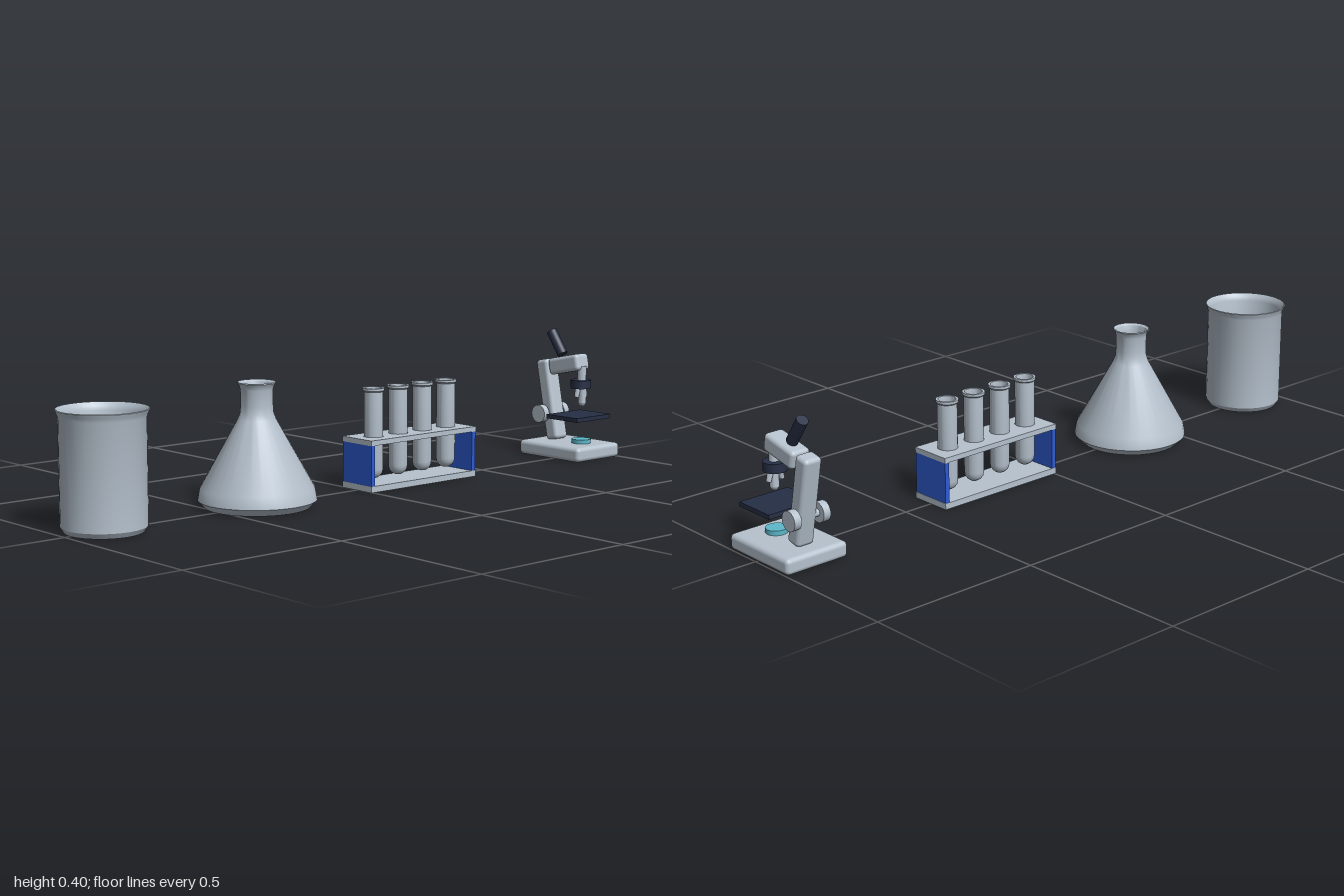
import * as THREE from 'three';
import { toCreasedNormals } from 'three/addons/utils/BufferGeometryUtils.js';
import { RoundedBoxGeometry } from 'three/addons/geometries/RoundedBoxGeometry.js';

const makeMaterial = (name, color) => {
  const m = new THREE.MeshStandardMaterial({ color });
  m.name = name;
  return m;
};

export function createModel() {
  const grey = makeMaterial('paleGrey', 0xb6c2ce);
  const dark = makeMaterial('darkNavy', 0x262f45);
  const teal = makeMaterial('tealLiquid', 0x5cb8cc);
  const green = makeMaterial('greenLiquid', 0x7ccf9b);
  const blue = makeMaterial('rackBlue', 0x2d5bd0);

  const model = new THREE.Group();
  model.name = 'laboratorySet';

  const group = (name, x) => {
    const g = new THREE.Group();
    g.name = name;
    g.position.x = x;
    model.add(g);
    return g;
  };
  const add = (parent, name, geometry, material, x = 0, y = 0, z = 0, tilt = 0) => {
    const mesh = new THREE.Mesh(geometry, material);
    mesh.name = name;
    mesh.position.set(x, y, z);
    mesh.rotation.x = tilt;
    parent.add(mesh);
    return mesh;
  };
  const lathe = (points, sides) => toCreasedNormals(
    new THREE.LatheGeometry(points.map(([r, y]) => new THREE.Vector2(r, y)), sides), 0.5);
  const cylinder = (r, h, sides = 24, rBottom = r) => new THREE.CylinderGeometry(r, rBottom, h, sides);
  const rounded = (w, h, d, r) => new RoundedBoxGeometry(w, h, d, 3, r);

  // Beaker: outer wall, flared rim, inner wall and floor
  const beaker = group('beaker', -0.877);
  add(beaker, 'beakerGlass', lathe([
    [0, 0], [0.105, 0], [0.115, 0.015], [0.115, 0.3], [0.119, 0.31], [0.123, 0.32],
    [0.121, 0.322], [0.113, 0.312], [0.109, 0.3], [0.109, 0.012], [0, 0.012],
  ], 32), grey);
  add(beaker, 'beakerLiquid', cylinder(0.108, 0.15, 32), teal, 0, 0.088);

  // Conical flask
  const flask = group('conicalFlask', -0.37);
  add(flask, 'flaskGlass', lathe([
    [0, 0], [0.145, 0], [0.165, 0.02], [0.159, 0.053], [0.053, 0.243], [0.046, 0.262],
    [0.045, 0.28], [0.045, 0.325], [0.048, 0.335], [0.053, 0.343], [0.052, 0.346],
    [0.046, 0.341], [0.041, 0.325], [0.041, 0.262], [0.047, 0.243], [0.151, 0.053],
    [0.154, 0.02], [0.14, 0.008], [0, 0.008],
  ], 32), grey);
  add(flask, 'flaskLiquid', lathe([
    [0, 0.01], [0.138, 0.01], [0.148, 0.05], [0.104, 0.13], [0, 0.13],
  ], 32), green);

  // Rack with two shelves and blue ends
  const rack = group('testTubeRack', 0.2025);
  add(rack, 'rackBase', new THREE.BoxGeometry(0.416, 0.018, 0.126), grey, 0, 0.009);
  const shelf = new THREE.Shape();
  shelf.moveTo(-0.208, -0.063);
  shelf.lineTo(0.208, -0.063);
  shelf.lineTo(0.208, 0.063);
  shelf.lineTo(-0.208, 0.063);
  const tubeX = [-1.5, -0.5, 0.5, 1.5].map((k) => k * 0.096);
  for (const x of tubeX) shelf.holes.push(new THREE.Path().absarc(x, 0, 0.0285, 0, Math.PI * 2, true));
  const shelfGeometry = new THREE.ExtrudeGeometry(shelf, { depth: 0.015, bevelEnabled: false, curveSegments: 16 });
  shelfGeometry.rotateX(-Math.PI / 2);
  add(rack, 'rackTop', shelfGeometry, grey, 0, 0.135);
  for (const s of [-1, 1]) {
    add(rack, 'rackEnd', new THREE.BoxGeometry(0.014, 0.117, 0.124), blue, s * 0.2, 0.0765);
  }

  // Test tubes, two of them filled
  const tubeProfile = [
    [0, 0.028], [0.011, 0.03], [0.02, 0.036], [0.026, 0.045], [0.028, 0.056], [0.028, 0.28],
    [0.032, 0.284], [0.032, 0.291], [0.025, 0.291], [0.024, 0.28], [0.024, 0.056],
    [0.017, 0.041], [0, 0.034],
  ];
  tubeX.forEach((x, i) => {
    add(rack, 'testTube', lathe(tubeProfile, 20), grey, x);
    if (i % 2) add(rack, 'tubeLiquid', cylinder(0.0235, 0.09, 20), i === 1 ? green : teal, x, 0.1);
  });

  // Microscope body
  const scope = group('microscope', 0.9025);
  add(scope, 'base', rounded(0.195, 0.045, 0.253, 0.013), grey, 0, 0.0225, -0.0125);
  add(scope, 'arm', rounded(0.055, 0.256, 0.048, 0.012), grey, 0, 0.171, -0.09, -0.2);
  add(scope, 'head', rounded(0.06, 0.052, 0.125, 0.012), grey, 0, 0.289, -0.02, -0.21);
  add(scope, 'stage', new THREE.BoxGeometry(0.154, 0.013, 0.128), dark, 0, 0.128, 0.025);
  add(scope, 'lamp', cylinder(0.03, 0.014), teal, 0, 0.051, 0.038);
  add(scope, 'eyepiece', cylinder(0.0165, 0.084), dark, 0, 0.352, -0.07, -0.61);

  // Nosepiece and objectives
  add(scope, 'nosepieceNeck', cylinder(0.014, 0.05), grey, 0, 0.262, 0.036);
  add(scope, 'nosepiece', cylinder(0.032, 0.026), dark, 0, 0.231, 0.033);
  add(scope, 'mainObjective', lathe([
    [0, 0.163], [0.008, 0.163], [0.013, 0.172], [0.013, 0.22], [0, 0.22],
  ], 20), grey, 0, 0, 0.039);
  for (const s of [-1, 1]) {
    const objective = add(scope, 'sideObjective', cylinder(0.009, 0.034, 16, 0.007), grey, s * 0.017, 0.207, 0.034);
    objective.rotation.z = s * 0.25;
  }

  // Focus knobs and their axle
  const axle = add(scope, 'focusAxle', cylinder(0.01, 0.09), grey, 0, 0.128, -0.095);
  axle.rotation.z = Math.PI / 2;
  for (const s of [-1, 1]) {
    const knob = add(scope, 'focusKnob', cylinder(0.028, 0.022), grey, s * 0.046, 0.128, -0.095);
    knob.rotation.z = Math.PI / 2;
  }

  return model;
}
